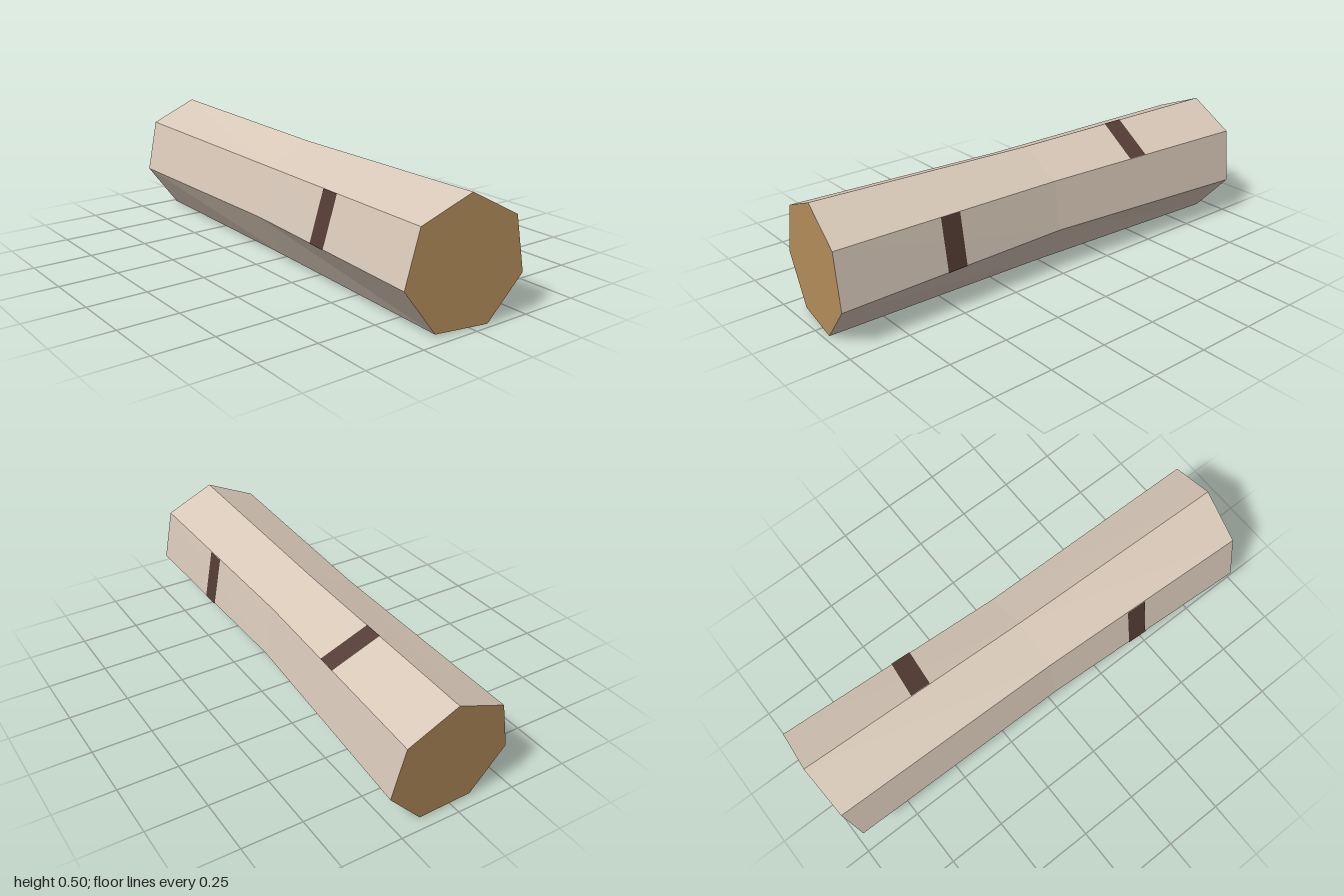
import * as THREE from 'three';

const bark = new THREE.MeshStandardMaterial({ name: 'paleBark', color: 0xd8c8b8 });
const dark = new THREE.MeshStandardMaterial({ name: 'darkBark', color: 0x543c34 });
const wood = new THREE.MeshStandardMaterial({ name: 'cutWood', color: 0xb58d5b });

// Seven-sided cross-sections [x, y], clockwise from the top as seen from the front
const frontXY = [[-0.02, 0.5], [0.178, 0.392], [0.218, 0.17], [0.072, 0.003], [-0.153, 0.012], [-0.286, 0.195], [-0.228, 0.412]];
const midXY = [[0.009, 0.485], [0.189, 0.389], [0.227, 0.188], [0.093, 0.003], [-0.113, 0.011], [-0.236, 0.203], [-0.183, 0.404]];
const backXY = [[0.045, 0.495], [0.244, 0.39], [0.285, 0.17], [0.137, 0.002], [-0.088, 0.01], [-0.22, 0.193], [-0.163, 0.41]];
const N = frontXY.length;

// Both ends are sawn at a slight slant
const front = frontXY.map(([x, y]) => new THREE.Vector3(x, y, 0.972 + 0.129 * x));
const mid = midXY.map(([x, y]) => new THREE.Vector3(x, y, 0));
const back = backXY.map(([x, y]) => new THREE.Vector3(x, y, -0.95 - 0.1 * y));

// Point on long edge i of the log at depth z
function edgeAt(i, z) {
  const end = (z > 0 ? front : back)[i % N];
  return mid[i % N].clone().lerp(end, z / end.z);
}

function meshFrom(name, points, material) {
  const geometry = new THREE.BufferGeometry().setFromPoints(points);
  geometry.computeVertexNormals();
  const mesh = new THREE.Mesh(geometry, material);
  mesh.name = name;
  return mesh;
}

const quad = (a, b, c, d) => [a, b, c, a, c, d];

function cap(name, ring, facesFront) {
  const centre = ring.reduce((s, p) => s.add(p), new THREE.Vector3()).divideScalar(N);
  const points = ring.flatMap((p, i) => {
    const q = ring[(i + 1) % N];
    return facesFront ? [centre, q, p] : [centre, p, q];
  });
  return meshFrom(name, points, wood);
}

// Thin dark band across side i, centred at depth z0 on one edge and z1 on the next
function mark(name, i, z0, z1) {
  const half = 0.043;
  const corners = [edgeAt(i, z0 + half), edgeAt(i + 1, z1 + half), edgeAt(i + 1, z1 - half), edgeAt(i, z0 - half)];
  const normal = new THREE.Vector3().subVectors(corners[1], corners[0])
    .cross(new THREE.Vector3().subVectors(corners[3], corners[0])).normalize();
  corners.forEach((p) => p.addScaledVector(normal, 0.003));
  return meshFrom(name, quad(...corners), dark);
}

export function createModel() {
  const log = new THREE.Group();
  log.name = 'log';

  // Bark: two lengths meeting at a narrower, slightly bent waist
  const sides = [];
  for (const [near, far] of [[front, mid], [mid, back]]) {
    for (let i = 0; i < N; i++) {
      const j = (i + 1) % N;
      sides.push(...quad(near[i], near[j], far[j], far[i]));
    }
  }
  log.add(meshFrom('barkSides', sides, bark));

  // Cut ends
  log.add(cap('frontCut', front, true), cap('backCut', back, false));

  // Bark marks
  log.add(
    mark('topMark', 0, -0.472, -0.446),
    mark('rightMark', 1, 0.507, 0.507),
    mark('undersideMark', 3, 0.01, 0.035),
    mark('leftMark', 5, 0.421, 0.433),
  );
  return log;
}
